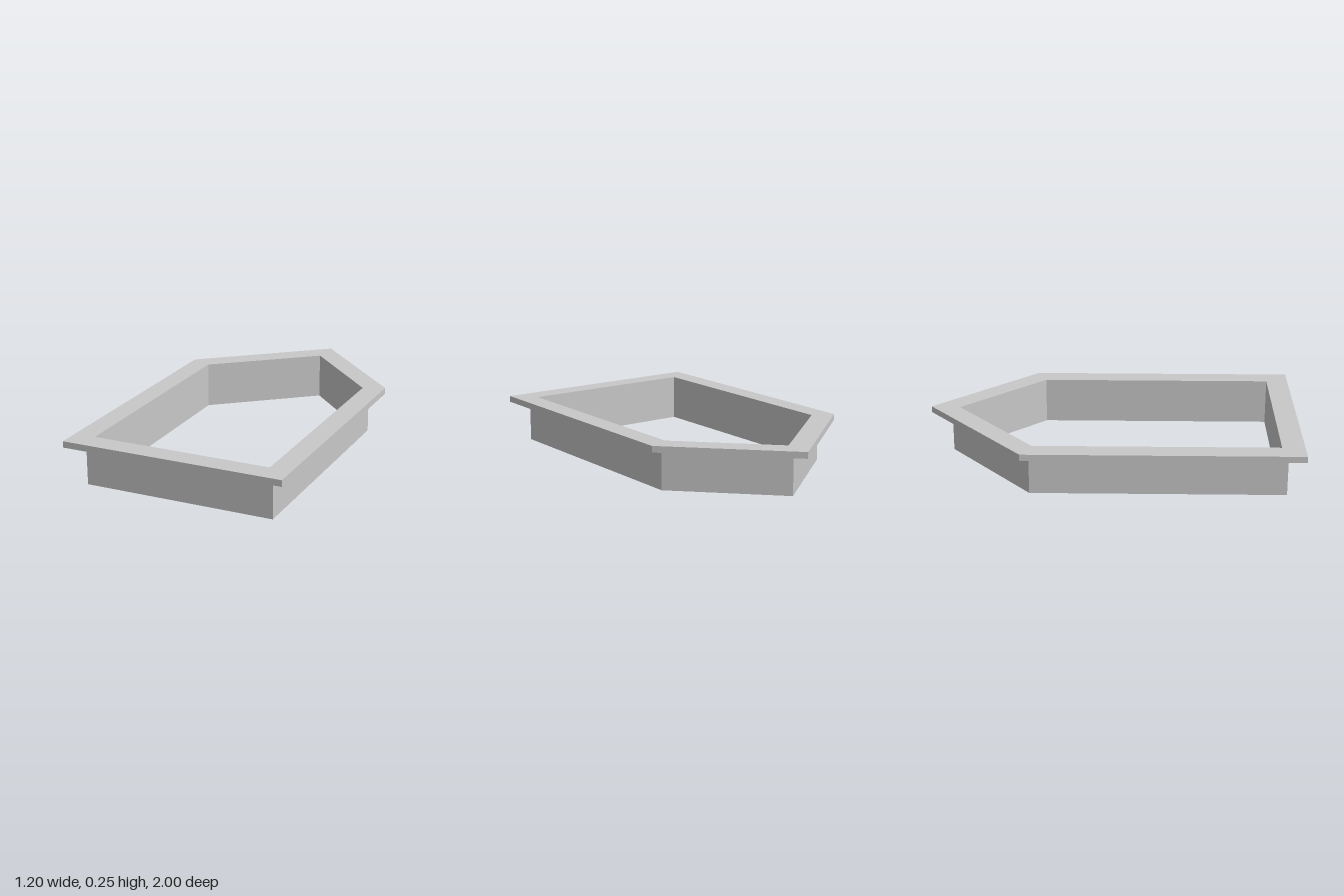
import * as THREE from 'three';

// Five-sided outlines as [x, z]
const flangeOutline = [[-0.6, 1], [0.6, 1], [0.6, -0.445], [0.055, -1], [-0.6, -0.463]];
const wallOutline = [[-0.517, 0.914], [0.517, 0.914], [0.517, -0.408], [0.049, -0.885], [-0.517, -0.424]];
const opening = [[-0.485, 0.88], [0.485, 0.88], [0.485, -0.395], [0.047, -0.842], [-0.485, -0.409]];

const toPoints = (outline) => outline.map(([x, z]) => new THREE.Vector2(x, -z));

// Upright ring between an outline and the shared opening
function ring(name, outline, bottom, top, material) {
  const shape = new THREE.Shape(toPoints(outline));
  shape.holes.push(new THREE.Path(toPoints(opening)));
  const geometry = new THREE.ExtrudeGeometry(shape, { depth: top - bottom, bevelEnabled: false });
  geometry.rotateX(-Math.PI / 2).translate(0, bottom, 0);
  const mesh = new THREE.Mesh(geometry, material);
  mesh.name = name;
  return mesh;
}

export function createModel() {
  const group = new THREE.Group();
  group.name = 'pointedFrame';
  const grey = new THREE.MeshStandardMaterial({ color: 0xc8c8c8 });
  grey.name = 'light grey';
  group.add(
    ring('wall', wallOutline, 0, 0.219, grey),
    ring('topFlange', flangeOutline, 0.219, 0.253, grey),
  );
  return group;
}
